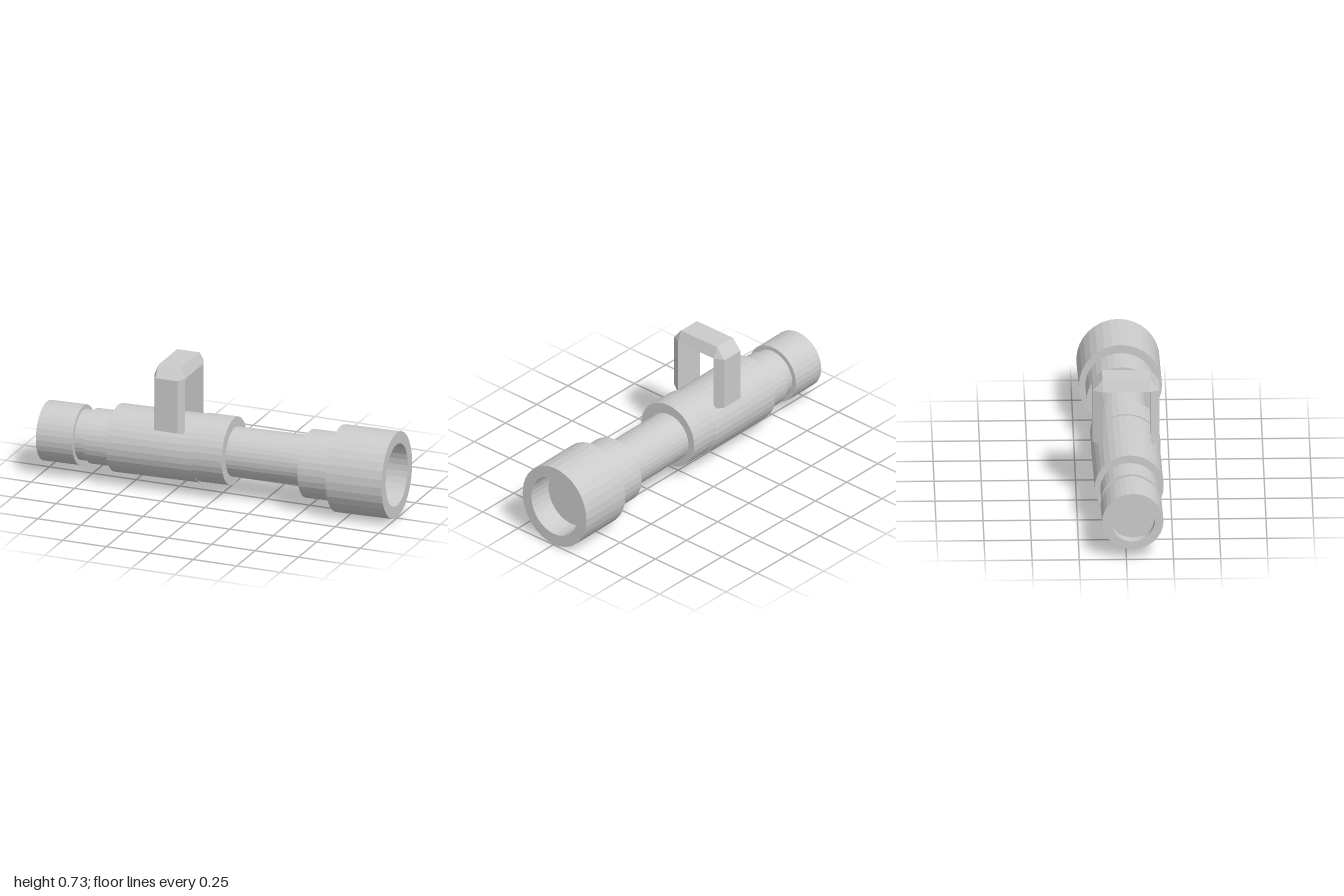
import * as THREE from 'three';

const material = new THREE.MeshStandardMaterial({ color: 0xcccccc, flatShading: true });

// Closed turned part lying along x; optional blind recess at one end
function barrel(name, x0, x1, [y, z], [ry, rz], { r1 = ry, recess } = {}) {
  const h = (x1 - x0) / 2;
  let pts = [[0, -h], [ry, -h], [r1, h], [0, h]];
  if (recess) {
    const { end, radius, depth } = recess;
    pts = end > 0
      ? [[0, -h], [ry, -h], [ry, h], [radius, h], [radius, h - depth], [0, h - depth]]
      : [[0, depth - h], [radius, depth - h], [radius, -h], [ry, -h], [ry, h], [0, h]];
  }
  const geometry = new THREE.LatheGeometry(pts.map(([r, a]) => new THREE.Vector2(r, a)), 32);
  geometry.rotateZ(-Math.PI / 2);
  geometry.scale(1, 1, rz / ry);
  const mesh = new THREE.Mesh(geometry, material);
  mesh.name = name;
  mesh.position.set((x0 + x1) / 2, y, z);
  // the whole tube leans very slightly
  mesh.rotation.set(0, 0.022, 0.012);
  return mesh;
}

// Squared arch whose section is wide inside and narrow outside
function carryHandle() {
  const outer = [[0.19, 0.375], [0.19, 0.67], [0.142, 0.73], [-0.113, 0.73], [-0.165, 0.67], [-0.165, 0.375]];
  const inner = [[0.142, 0.355], [0.142, 0.67], [0.142, 0.67], [-0.11, 0.67], [-0.11, 0.67], [-0.11, 0.355]];
  const positions = [], index = [];
  outer.forEach(([zo, yo], i) => {
    const [zi, yi] = inner[i];
    positions.push(0.064, yo, zo, -0.064, yo, zo, -0.088, yi, zi, 0.088, yi, zi);
    if (i === 0) return;
    for (let k = 0; k < 4; k++) {
      const n = (k + 1) % 4, a = (i - 1) * 4, b = i * 4;
      // the inner corner is shared by two stations, so its quad has no area
      if (k === 2 && inner[i] + '' === inner[i - 1] + '') continue;
      index.push(a + n, a + k, b + k, a + n, b + k, b + n);
    }
  });
  const e = (outer.length - 1) * 4;
  index.push(0, 1, 2, 0, 2, 3, e, e + 2, e + 1, e, e + 3, e + 2);
  const geometry = new THREE.BufferGeometry();
  geometry.setAttribute('position', new THREE.Float32BufferAttribute(positions, 3));
  geometry.setIndex(index);
  geometry.computeVertexNormals();
  const mesh = new THREE.Mesh(geometry, material);
  mesh.name = 'carryHandle';
  mesh.position.x = -0.2475;
  return mesh;
}

export function createModel() {
  const group = new THREE.Group();
  group.name = 'scope';
  group.add(
    // rear end
    barrel('eyepiece', -0.998, -0.79, [0.224, 0.032], [0.162, 0.163],
      { recess: { end: -1, radius: 0.117, depth: 0.05 } }),
    barrel('eyepieceGroove', -0.8, -0.72, [0.228, 0.03], [0.137, 0.137]),
    barrel('eyepieceCollar', -0.73, -0.58, [0.228, 0.025], [0.148, 0.154]),
    // middle
    barrel('mainBody', -0.592, -0.1, [0.24, 0.018], [0.184, 0.183]),
    barrel('bodyRing', -0.1, 0.07, [0.251, 0.014], [0.184, 0.184]),
    barrel('frontTube', 0.06, 0.51, [0.249, -0.001], [0.134, 0.135], { r1: 0.136 }),
    // front end
    barrel('lensCollar', 0.502, 0.69, [0.243, 0.002], [0.184, 0.185]),
    barrel('lensHousing', 0.677, 0.997, [0.241, -0.002], [0.2365, 0.221],
      { recess: { end: 1, radius: 0.172, depth: 0.14 } }),
    carryHandle(),
  );
  return group;
}
